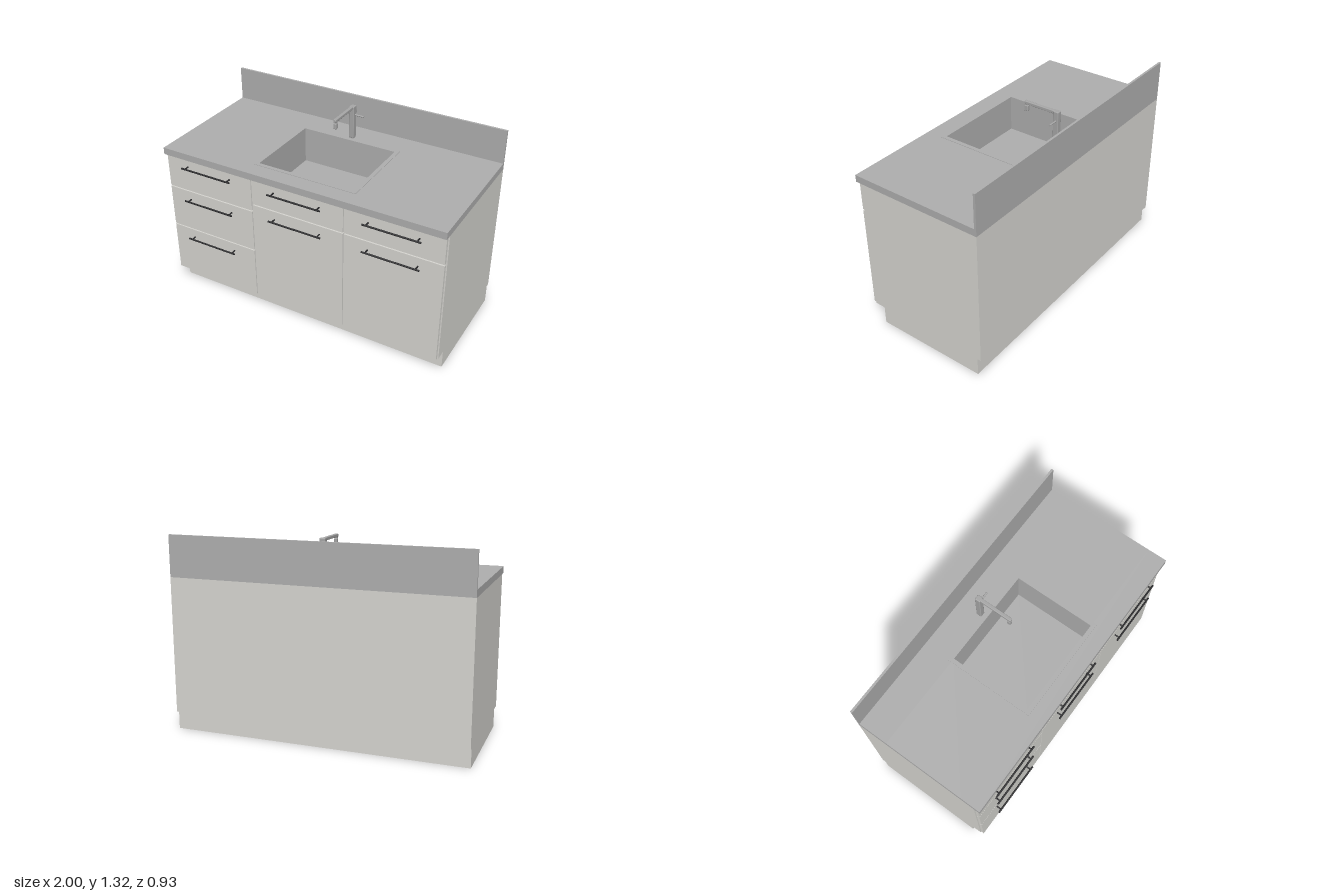
import * as THREE from 'three';
import { RoundedBoxGeometry } from 'three/addons/geometries/RoundedBoxGeometry.js';

const paint = (color) => new THREE.MeshStandardMaterial({ color });
const cabinet = paint(0xd8d7d2), stone = paint(0xb0b0b0), metal = paint(0xa8a8a8), dark = paint(0x2a2a2c);

function add(parent, name, geometry, material) {
  const mesh = new THREE.Mesh(geometry, material);
  mesh.name = name;
  parent.add(mesh);
  return mesh;
}

// Box given by its limits on each axis; a bevel rounds its edges
function block(parent, name, material, [x0, x1], [y0, y1], [z0, z1], bevel = 0) {
  const size = [x1 - x0, y1 - y0, z1 - z0];
  const geometry = bevel ? new RoundedBoxGeometry(...size, 2, bevel) : new THREE.BoxGeometry(...size);
  const mesh = add(parent, name, geometry, material);
  mesh.position.set((x0 + x1) / 2, (y0 + y1) / 2, (z0 + z1) / 2);
  return mesh;
}

// Flat rectangular frame: outline and opening in x and z, raised from y0 to y1
function frame(parent, name, material, [ox, oz0, oz1], [ix, iz0, iz1], [y0, y1]) {
  const trace = (path, x, z0, z1) =>
    path.moveTo(-x, -z1).lineTo(x, -z1).lineTo(x, -z0).lineTo(-x, -z0).closePath();
  const shape = new THREE.Shape();
  trace(shape, ox, oz0, oz1);
  const hole = new THREE.Path();
  trace(hole, ix, iz0, iz1);
  shape.holes.push(hole);
  const geometry = new THREE.ExtrudeGeometry(shape, { depth: y1 - y0, bevelEnabled: false });
  geometry.rotateX(-Math.PI / 2).translate(0, y0, 0);
  return add(parent, name, geometry, material);
}

// Bar handle on two short posts
function handle(parent, x, y) {
  const group = new THREE.Group();
  group.name = 'handle';
  const bar = add(group, 'handleBar', new THREE.CylinderGeometry(0.006, 0.006, 0.38, 12), dark);
  bar.rotation.z = Math.PI / 2;
  bar.position.z = 0.461;
  for (const side of [-1, 1]) {
    const post = add(group, 'handlePost', new THREE.CylinderGeometry(0.005, 0.005, 0.036, 12), dark);
    post.rotation.x = Math.PI / 2;
    post.position.set(side * 0.165, 0, 0.442);
  }
  group.position.set(x, y, 0);
  parent.add(group);
}

export function createModel() {
  const model = new THREE.Group();
  model.name = 'kitchenSinkUnit';

  // Plinth and carcass; the upper part is hollow to take the basin
  block(model, 'plinth', cabinet, [-1, 1], [0, 0.125], [-0.44, 0.33]);
  block(model, 'carcass', cabinet, [-1, 1], [0.125, 0.835], [-0.465, 0.403]);
  frame(model, 'upperCarcass', cabinet, [1, -0.465, 0.403], [0.98, -0.445, 0.383], [0.835, 1.045]);

  // Drawer and door fronts: bottom, top and handle height of each
  const drawers = [[0.127, 0.487, 0.43], [0.495, 0.793, 0.734], [0.801, 1.04, 0.983]];
  const drawerAndDoor = [[0.127, 0.847, 0.787], [0.855, 1.04, 0.983]];
  [drawers, drawerAndDoor, drawerAndDoor].forEach((column, i) => {
    const x = (i - 1) * 0.664;
    for (const [y0, y1, grip] of column) {
      block(model, y1 - y0 > 0.5 ? 'doorFront' : 'drawerFront', cabinet, [x - 0.329, x + 0.329], [y0, y1], [0.405, 0.425]);
      handle(model, x, grip);
    }
  });

  // Worktop strips around the basin, and the splashback
  const top = [1.045, 1.092];
  block(model, 'worktopFront', stone, [-1, 1], top, [0.315, 0.448]);
  block(model, 'worktopBack', stone, [-1, 1], top, [-0.465, -0.247]);
  block(model, 'worktopRight', stone, [-1, -0.34], top, [-0.247, 0.315]);
  block(model, 'worktopLeft', stone, [0.34, 1], top, [-0.247, 0.315]);
  block(model, 'splashback', stone, [-1, 1], [1.092, 1.322], [-0.465, -0.45]);

  // Basin with raised rim
  frame(model, 'sinkRim', stone, [0.365, -0.272, 0.338], [0.338, -0.245, 0.312], [1.091, 1.095]);
  frame(model, 'basinWalls', stone, [0.35, -0.257, 0.325], [0.338, -0.245, 0.312], [0.845, 1.0915]);
  block(model, 'basinFloor', stone, [-0.35, 0.35], [0.837, 0.847], [-0.257, 0.325]);

  // Tap: column, spout, nozzle and side lever
  const tap = new THREE.Group();
  tap.name = 'tap';
  block(tap, 'tapBase', metal, [-0.015, 0.015], [1.09, 1.102], [-0.311, -0.279]);
  block(tap, 'tapColumn', metal, [-0.018, 0.018], [1.098, 1.324], [-0.314, -0.276], 0.005);
  block(tap, 'tapSpout', metal, [-0.011, 0.011], [1.303, 1.324], [-0.29, -0.053], 0.004);
  block(tap, 'tapNozzle', metal, [-0.011, 0.011], [1.256, 1.296], [-0.081, -0.054], 0.005);
  block(tap, 'nozzleNeck', metal, [-0.008, 0.008], [1.29, 1.306], [-0.077, -0.058]);
  const lever = add(tap, 'tapLever', new THREE.CylinderGeometry(0.006, 0.006, 0.07, 12), metal);
  lever.rotation.z = Math.PI / 2;
  lever.position.set(0.047, 1.26, -0.297);
  model.add(tap);

  return model;
}
